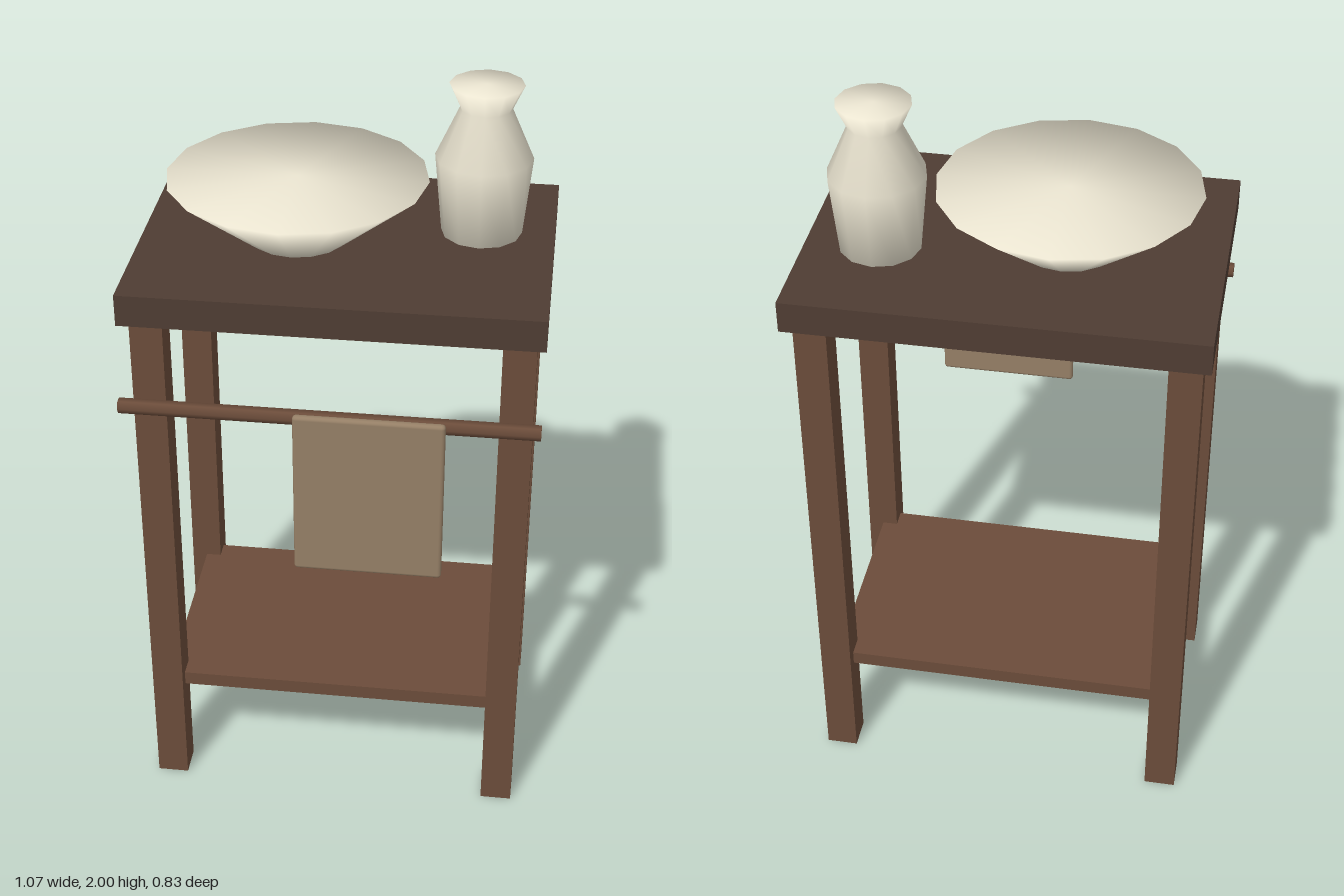
import * as THREE from 'three';
import { RoundedBoxGeometry } from 'three/addons/geometries/RoundedBoxGeometry.js';

const mat = (color) => new THREE.MeshStandardMaterial({ color });

export function createModel() {
  const group = new THREE.Group();
  const wood = mat(0x6b4c3a);
  const darkWood = mat(0x4f3d33);
  const ceramic = mat(0xece6d2);
  const cloth = mat(0x957f66);
  const midZ = -0.03; // centre of the stand, behind the towel rail

  const add = (name, geometry, material, x, y, z) => {
    const mesh = new THREE.Mesh(geometry, material);
    mesh.name = name;
    mesh.position.set(x, y, z);
    group.add(mesh);
    return mesh;
  };
  const lathe = (profile, sides) =>
    new THREE.LatheGeometry(profile.map(([r, y]) => new THREE.Vector2(r, y)), sides);

  // Table top
  add('tableTop', new THREE.BoxGeometry(1.07, 0.085, 0.772), darkWood, 0, 1.55, midZ);

  // Four square legs
  for (const sx of [-1, 1]) {
    for (const sz of [-1, 1]) {
      const name = (sz > 0 ? 'front' : 'back') + (sx > 0 ? 'Left' : 'Right') + 'Leg';
      add(name, new THREE.BoxGeometry(0.085, 1.51, 0.085), wood, sx * 0.47, 0.755, midZ + sz * 0.3);
    }
  }

  // Low shelf, its corners let into the legs
  add('shelf', new THREE.BoxGeometry(0.94, 0.04, 0.62), wood, 0, 0.324, midZ);

  // Six-sided towel rail along the front
  const rail = new THREE.CylinderGeometry(0.02, 0.02, 1.07, 6).rotateZ(Math.PI / 2);
  add('towelRail', rail, wood, 0, 1.29, 0.38);

  // Towel hanging in front of the rail
  add('towel', new RoundedBoxGeometry(0.386, 0.468, 0.022, 2, 0.01), cloth, 0.106, 1.075, 0.402);

  // Wash bowl and jug, soft-shaded with closed tops
  add('washBowl', lathe([[0, 0], [0.13, 0], [0.34, 0.17], [0, 0.17]], 16), ceramic, -0.13, 1.592, midZ);
  add('jug', lathe([[0, 0], [0.106, 0], [0.127, 0.212], [0.067, 0.345], [0.096, 0.408], [0, 0.408]], 12),
    ceramic, 0.342, 1.592, -0.115);

  return group;
}
